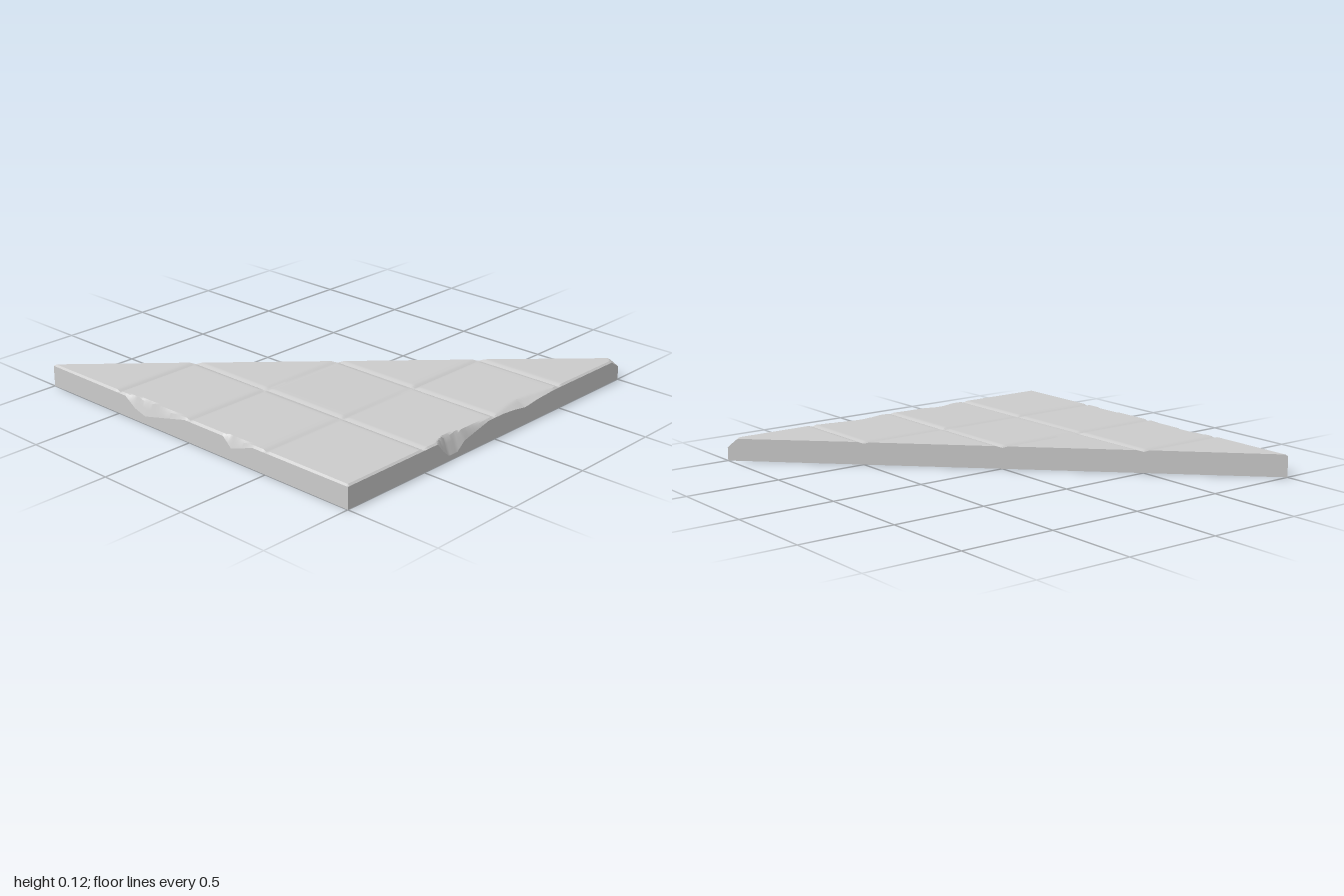
import * as THREE from 'three';
import { toCreasedNormals } from 'three/addons/utils/BufferGeometryUtils.js';

const N = 200;          // grid cells along each straight side
const TOP = 0.117;
const at = (i) => -1 + (2 * i) / N;

// Worn edges: [position along edge, height at the edge, depth of wear]
const frontWear = [
  [-1, 0.108, 0.01], [-0.41, 0.108, 0.01], [-0.37, 0.06, 0.025], [-0.33, 0.025, 0.036],
  [-0.27, 0.025, 0.032], [-0.22, 0.065, 0.018], [-0.05, 0.106, 0.012], [0.06, 0.108, 0.015],
  [0.15, 0.1, 0.04], [0.23, 0.088, 0.05], [0.33, 0.1, 0.035], [0.46, 0.108, 0.01], [1, 0.108, 0.01],
];
const leftWear = [
  [-1, 0.108, 0.01], [-0.45, 0.106, 0.01], [-0.38, 0.06, 0.02], [-0.31, 0.04, 0.026],
  [-0.18, 0.07, 0.015], [-0.03, 0.106, 0.01], [0.23, 0.106, 0.01], [0.28, 0.06, 0.02],
  [0.33, 0.075, 0.015], [0.42, 0.106, 0.01], [1, 0.108, 0.01],
];

// Height allowed by the wear at distance d from an edge
function wornHeight(table, t, d) {
  let k = 0;
  while (k < table.length - 2 && t > table[k + 1][0]) k++;
  const [a, b] = [table[k], table[k + 1]];
  const f = (t - a[0]) / (b[0] - a[0]);
  const edge = THREE.MathUtils.lerp(a[1], b[1], f);
  const depth = THREE.MathUtils.lerp(a[2], b[2], f);
  return edge + ((TOP - edge) * d) / depth;
}

// Shallow V joint between paving tiles
function joint(v) {
  const d = Math.abs(v - Math.round(v * 2) / 2);
  return Math.abs(v) > 0.8 ? 0 : 0.008 * Math.max(0, 1 - d / 0.022);
}

// Height of the paved surface
function height(x, z) {
  const col = Math.floor((x + 1) * 2), row = Math.floor((z + 1) * 2);
  const u = (x + 1) * 2 - col - 0.5, v = (z + 1) * 2 - row - 0.5;
  const tilt = 0.0015 * (Math.sin(col * 5 + row * 3) * u + Math.cos(col * 2 + row * 7) * v) - 0.0008;
  const tip = 0.07 + (0.047 * (2 - x - z)) / 0.075;   // broken sharp corner
  return Math.min(
    TOP + tilt - Math.max(joint(x), joint(z)),
    wornHeight(frontWear, x, 1 - z),
    wornHeight(leftWear, z, x + 1),
    tip,
  );
}

function meshFrom(name, positions, index, material, crease) {
  let geometry = new THREE.BufferGeometry();
  geometry.setAttribute('position', new THREE.Float32BufferAttribute(positions, 3));
  geometry.setIndex(index);
  geometry = toCreasedNormals(geometry, crease);
  const mesh = new THREE.Mesh(geometry, material);
  mesh.name = name;
  return mesh;
}

export function createModel() {
  const group = new THREE.Group();
  group.name = 'triangularFloorSlab';
  const material = new THREE.MeshStandardMaterial({ color: 0xcccccc });

  // Paved top: the half of a square grid in front of its diagonal
  const top = [], topIndex = [], ids = [];
  for (let i = 0; i <= N; i++) {
    ids.push([]);
    for (let j = i; j <= N; j++) {
      ids[i][j] = top.length / 3;
      top.push(at(i), height(at(i), at(j)), at(j));
    }
  }
  for (let i = 0; i < N; i++) {
    for (let j = i; j < N; j++) {
      topIndex.push(ids[i][j], ids[i][j + 1], ids[i + 1][j + 1]);
      if (j > i) topIndex.push(ids[i][j], ids[i + 1][j + 1], ids[i + 1][j]);
    }
  }
  group.add(meshFrom('pavedTop', top, topIndex, material, 0.5));

  // Side walls, rising to the worn rim
  const sides = {
    leftEdgeWall: (k) => [-1, at(k)],
    frontWall: (k) => [at(k), 1],
    diagonalWall: (k) => [at(N - k), at(N - k)],
  };
  for (const [name, point] of Object.entries(sides)) {
    const wall = [], index = [];
    for (let k = 0; k <= N; k++) {
      const [x, z] = point(k);
      wall.push(x, 0, z, x, height(x, z), z);
      const a = 2 * k;
      if (k < N) index.push(a, a + 2, a + 3, a, a + 3, a + 1);
    }
    group.add(meshFrom(name, wall, index, material, 0.5));
  }

  // Flat underside
  group.add(meshFrom('underside', [-1, 0, -1, 1, 0, 1, -1, 0, 1], [0, 1, 2], material, 0.5));
  return group;
}
